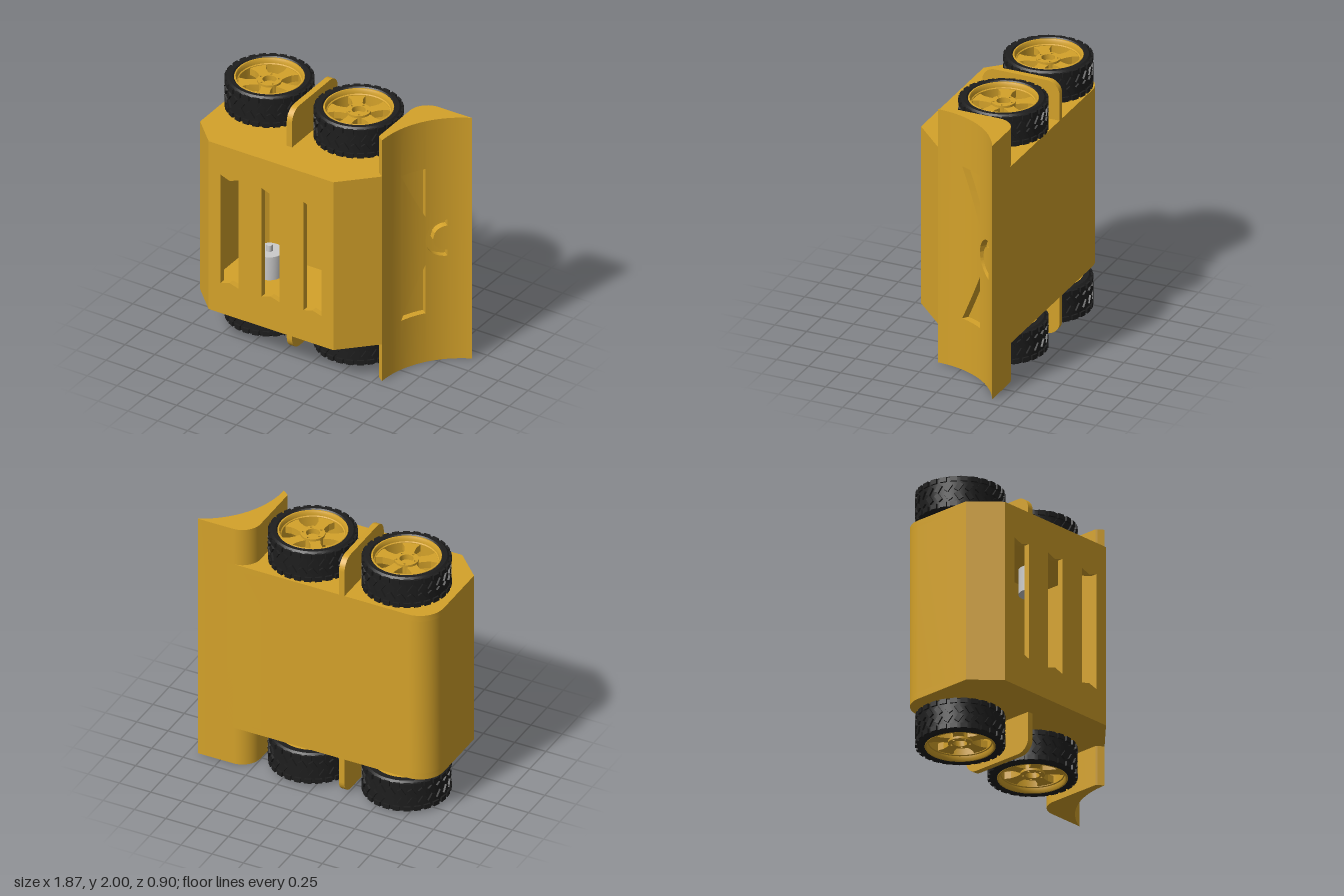
import * as THREE from 'three';
import { mergeGeometries, toCreasedNormals } from 'three/addons/utils/BufferGeometryUtils.js';

const gold = new THREE.MeshStandardMaterial({ color: 0xd4a22a });
const goldThin = new THREE.MeshStandardMaterial({ color: 0xd4a22a, side: THREE.DoubleSide });
const rubber = new THREE.MeshStandardMaterial({ color: 0x1e1e1e });
const grey = new THREE.MeshStandardMaterial({ color: 0xcccccc });

const BODY_Y0 = 0.305, BODY_Y1 = 1.70, CAP = 0.05, BACK = -0.405, AXLE_Z = -0.13;

function mesh(name, geo, mat = gold, crease = 0.5) {
  const m = new THREE.Mesh(toCreasedNormals(geo, crease), mat);
  m.name = name;
  return m;
}

// Upright prism from an [x, z] outline
function prism(pts, y0, y1, holes = []) {
  const shape = new THREE.Shape(pts.map(([x, z]) => new THREE.Vector2(x, -z)));
  for (const [x, z, r] of holes) shape.holes.push(new THREE.Path().absarc(x, -z, r, 0, Math.PI * 2));
  return new THREE.ExtrudeGeometry(shape, { depth: y1 - y0, bevelEnabled: false, curveSegments: 10 })
    .rotateX(-Math.PI / 2).translate(0, y0, 0);
}

function arc(cx, cz, r, a0, a1, n = 12) {
  return Array.from({ length: n + 1 }, (_, i) => {
    const a = a0 + (a1 - a0) * i / n;
    return [cx + r * Math.cos(a), cz + r * Math.sin(a)];
  });
}

function lathe(pts, segments = 64) {
  return new THREE.LatheGeometry([...pts, pts[0]].map(([r, y]) => new THREE.Vector2(r, y)), segments);
}

// Hollow hull with end plates and a slotted front panel
function makeBody() {
  const g = new THREE.Group();
  g.name = 'body';
  const outer = [[-0.74, 0.445], [-0.935, 0.25],
    ...arc(-0.745, BACK + 0.19, 0.19, Math.PI, Math.PI * 1.5),
    [0.70, BACK], [0.53, -0.2], [0.51, 0.15], [0.555, 0.195], [0.305, 0.445]];
  const inner = [[0.285, 0.40], [0.46, 0.225], [0.46, -0.36], [-0.74, -0.36], [-0.89, -0.21], [-0.89, 0.23], [-0.72, 0.40]];
  g.add(mesh('hullWall', prism([...outer, ...inner], BODY_Y0 + CAP, BODY_Y1 - CAP)));
  g.add(mesh('lowerEndPlate', prism(outer, BODY_Y0, BODY_Y0 + CAP)));
  g.add(mesh('upperEndPlate', prism(outer, BODY_Y1 - CAP, BODY_Y1)));

  const y0 = BODY_Y0 + CAP, y1 = BODY_Y1 - CAP;
  const panel = new THREE.Shape([[-0.74, y0], [0.305, y0], [0.305, y1], [-0.74, y1]].map(p => new THREE.Vector2(...p)));
  for (const x of [-0.565, -0.22, 0.13]) {
    const w = 0.075;
    panel.holes.push(new THREE.Path([[x - w, 0.555], [x - w, 1.455], [x, 1.427], [x + w, 1.455],
      [x + w, 0.555], [x, 0.578]].map(p => new THREE.Vector2(...p))));
  }
  const panelGeo = new THREE.ExtrudeGeometry(panel, { depth: 0.045, bevelEnabled: false }).translate(0, 0, 0.40);
  g.add(mesh('slottedFrontPanel', panelGeo));
  return g;
}

// Curved plow: solid core plus a thin skin pierced by two triangles and a half ring
function makePlow() {
  const g = new THREE.Group();
  g.name = 'plow';
  const Y0 = 0, Y1 = 2, T0 = -0.01, C0 = -0.19, C1 = -0.235, C2 = -0.31, MID = 1.007;
  const face = z => [1.222 - Math.sqrt(0.667 ** 2 - (z - 0.195) ** 2), z];
  const floor = z => {
    const k = Math.min(1, (z - BACK) / 0.06);
    return [face(z)[0] - 0.04 * k, z - 0.03 * k];
  };
  const levels = [0.195];
  for (const [end, n] of [[T0, 5], [C0, 6], [C1, 8], [C2, 8], [-0.345, 2], [BACK, 4]]) {
    const start = levels[levels.length - 1];
    for (let i = 1; i <= n; i++) levels.push(start + (end - start) * i / n);
  }
  const half = (z, ry, rz) => ry * Math.sqrt(Math.max(0, 1 - ((z - C2) / rz) ** 2));
  // Solid intervals in y at height z, within the band that holds "mid"
  const solid = (z, mid) => {
    if (mid > T0 || mid < C2) return [Y0, Y1];
    if (mid > C0) {
      const w = 0.4 * (T0 - z) / (T0 - C0);
      return [Y0, 0.405, 0.405 + w, 1.605 - w, 1.605, Y1];
    }
    const o = half(z, 0.15, 0.12), i = half(z, 0.1, 0.075);
    return mid > C1 ? [Y0, MID - o, MID + o, Y1] : [Y0, MID - o, MID - i, MID + i, MID + o, Y1];
  };

  const front = [], walls = [];
  const at = ([x, z], y) => [x, y, z];
  const quad = (out, a, b, c, d) => out.push(...a, ...b, ...c, ...a, ...c, ...d);
  for (let i = 0; i < levels.length - 1; i++) {
    const za = levels[i], zb = levels[i + 1], mid = (za + zb) / 2;
    const ya = solid(za, mid), yb = solid(zb, mid);
    for (let k = 0; k < ya.length; k += 2)
      quad(front, at(face(za), ya[k]), at(face(za), ya[k + 1]), at(face(zb), yb[k + 1]), at(face(zb), yb[k]));
    for (let k = 0; k < ya.length; k++)
      quad(walls, at(face(za), ya[k]), at(face(zb), yb[k]), at(floor(zb), yb[k]), at(floor(za), ya[k]));
  }
  // Straight closing walls of the recesses and the leading edge
  for (const [z, a, b] of [[C0, 0.405, 0.805], [C0, 1.205, 1.605], [C2, MID - 0.15, MID - 0.1],
    [C2, MID + 0.1, MID + 0.15], [0.195, Y0, Y1]])
    quad(walls, at(face(z), a), at(face(z), b), at(floor(z), b), at(floor(z), a));
  const build = (name, arr, crease) => {
    const geo = new THREE.BufferGeometry();
    geo.setAttribute('position', new THREE.Float32BufferAttribute(arr, 3));
    g.add(mesh(name, geo, goldThin, crease));
  };
  build('plowFace', front, 0.5);
  build('recessWalls', walls, 0.1);
  const back = arc(0.65, -0.26, 0.145, Math.PI * 1.5, Math.PI);
  g.add(mesh('plowCore', prism([...levels.map(floor), ...back, [0.505, 0.155]], Y0, Y1)));
  return g;
}

// Wheel standing on its inner side, outer face towards +y
function makeWheel() {
  const g = new THREE.Group();
  g.name = 'wheel';
  g.add(mesh('tyre', lathe([[0.25, 0], [0.29, 0], [0.306, 0.015], [0.306, 0.24], [0.29, 0.255], [0.262, 0.255], [0.252, 0.245]]), rubber));
  const blocks = [], N = 26;
  const rows = [[0.03, 0.036, 0.05, 0, 0], [0.093, 0.062, 0.036, 0.6, 0.5], [0.162, 0.062, 0.036, -0.6, 0.5], [0.225, 0.036, 0.05, 0, 0]];
  for (const [y, h, w, tilt, shift] of rows)
    for (let i = 0; i < N; i++)
      blocks.push(new THREE.BoxGeometry(w, h, 0.024).rotateZ(tilt).translate(0, y, 0.308).rotateY((i + shift) * 2 * Math.PI / N));
  g.add(mesh('tread', mergeGeometries(blocks), rubber));

  g.add(mesh('rim', lathe([[0.255, 0.002], [0.255, 0.24], [0.25, 0.25], [0.24, 0.25], [0.232, 0.235], [0.23, 0.215], [0.222, 0.21], [0.222, 0.002]])));
  const spoke = prism([[0.06, -0.042], [0.12, -0.036], [0.17, -0.042], [0.225, -0.07],
    [0.235, 0], [0.225, 0.07], [0.17, 0.042], [0.12, 0.036], [0.06, 0.042]], 0.15, 0.205);
  const spokes = [], bolts = [];
  for (let i = 0; i < 5; i++) {
    const a = i * Math.PI * 0.4;
    spokes.push(spoke.clone().rotateY(-a));
    bolts.push([0.07 * Math.cos(a + 0.63), 0.07 * Math.sin(a + 0.63), 0.009]);
  }
  g.add(mesh('spokes', mergeGeometries(spokes), gold, 0.3));
  g.add(mesh('hubFace', prism(arc(0, 0, 0.088, 0, Math.PI * 2, 40).slice(0, -1), 0.18, 0.222, [[0, 0, 0.05], ...bolts])));
  g.add(mesh('hub', new THREE.CylinderGeometry(0.088, 0.088, 0.12, 40).translate(0, 0.12, 0)));
  g.add(mesh('axle', new THREE.CylinderGeometry(0.068, 0.068, 0.15, 32).translate(0, 0.01, 0)));
  return g;
}

// Rounded fin between the two wheels of one side
function makeFin() {
  const h = 0.32, r = 0.1, z0 = BACK, z1 = 0.2;
  const s = new THREE.Shape();
  s.moveTo(-z0, 0).lineTo(-z0, h - r).absarc(-z0 - r, h - r, r, 0, Math.PI / 2)
    .lineTo(-z1 + r, h).absarc(-z1 + r, h - r, r, Math.PI / 2, Math.PI).lineTo(-z1, 0);
  return new THREE.ExtrudeGeometry(s, { depth: 0.045, bevelEnabled: false }).rotateY(Math.PI / 2).translate(-0.24, 0, 0);
}

export function createModel() {
  const model = new THREE.Group();
  model.name = 'plowRobot';
  model.add(makeBody(), makePlow());

  for (const [x, top, bottom, turn] of [[-0.593, 1.745, 0.265, 0], [0.155, 1.735, 0.27, -Math.PI / 2]]) {
    for (const upper of [true, false]) {
      const wheel = makeWheel();
      wheel.position.set(x, upper ? top : bottom, AXLE_Z);
      wheel.rotation.set(upper ? 0 : Math.PI, turn, 0);
      model.add(wheel);
      // Motor with its tail shaft inside the hull
      const s = upper ? 1 : -1, end = upper ? BODY_Y1 - CAP : BODY_Y0 + CAP;
      const can = mesh('motor', new THREE.CylinderGeometry(0.1, 0.1, 0.19, 32), grey);
      can.position.set(x, end - s * 0.095, AXLE_Z);
      const shaft = mesh('motorShaft', new THREE.CylinderGeometry(0.025, 0.025, 0.06, 16), grey);
      shaft.position.set(x, end - s * 0.21, AXLE_Z);
      model.add(can, shaft);
    }
  }

  const upperFin = mesh('upperFin', makeFin());
  upperFin.position.y = 1.68;
  const lowerFin = mesh('lowerFin', makeFin().rotateZ(Math.PI).translate(-0.435, 0, 0));
  lowerFin.position.y = 0.325;
  model.add(upperFin, lowerFin);
  return model;
}
